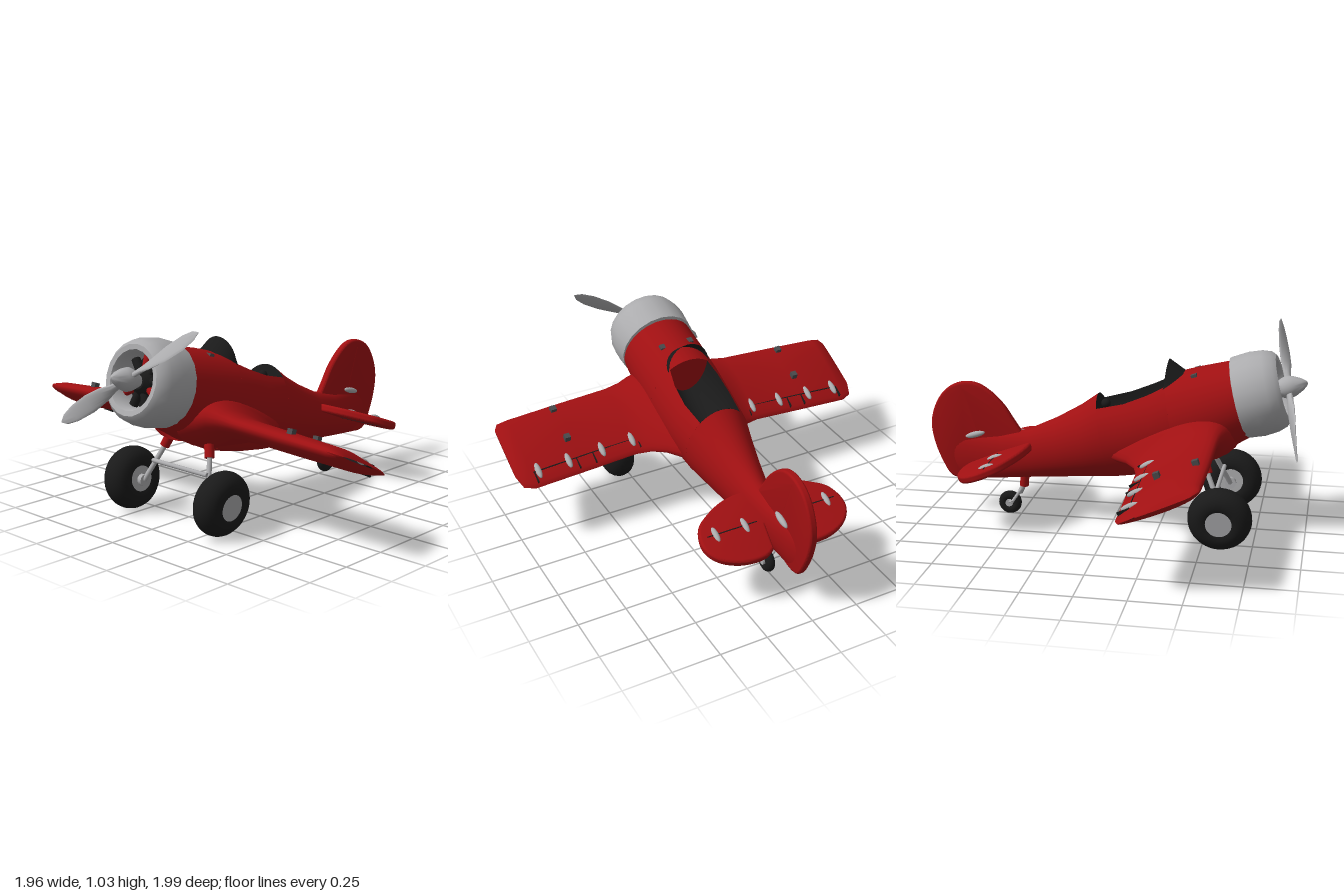
import * as THREE from 'three';
import { toCreasedNormals } from 'three/addons/utils/BufferGeometryUtils.js';

const mat = (name, color) => new THREE.MeshStandardMaterial({ name, color, side: THREE.DoubleSide });
const red = mat('red paint', 0xa01012);
const grey = mat('light grey metal', 0xacacae);
const black = mat('black', 0x1a1a1a);
const dark = mat('dark metal', 0x4a4a4c);
const V = (x, y, z) => new THREE.Vector3(x, y, z);

function add(parent, name, geo, material, x = 0, y = 0, z = 0) {
  const m = new THREE.Mesh(geo, material);
  m.name = name;
  m.position.set(x, y, z);
  parent.add(m);
  return m;
}

// Skin between rows of points
function loft(rows, closed = false) {
  const n = rows[0].length, idx = [], g = new THREE.BufferGeometry();
  for (let r = 0; r < rows.length - 1; r++)
    for (let i = 0; i < (closed ? n : n - 1); i++) {
      const a = r * n + i, b = r * n + (i + 1) % n, c = a + n, d = b + n;
      idx.push(a, b, c, b, d, c);
    }
  g.setFromPoints(rows.flat());
  g.setIndex(idx);
  return toCreasedNormals(g, 0.9);
}

// Round rod between two points
function rod(parent, name, a, b, r, material) {
  const dir = b.clone().sub(a);
  const m = add(parent, name, new THREE.CylinderGeometry(r, r, dir.length(), 12), material);
  m.position.copy(a).addScaledVector(dir, 0.5);
  m.quaternion.setFromUnitVectors(V(0, 1, 0), dir.normalize());
}

// Spindle-shaped hinge fairing
function hinge(parent, x, y, z, length, tilt) {
  const m = add(parent, 'hinge', new THREE.SphereGeometry(1, 14, 10), grey, x, y, z);
  m.scale.set(length / 2, 0.016, 0.016);
  m.rotation.z = tilt;
}

// Rounded plate from an outline
function plate(shape, depth, bevel) {
  const g = new THREE.ExtrudeGeometry(shape, {
    depth, bevelThickness: bevel, bevelSize: bevel, bevelOffset: -bevel, bevelSegments: 3, curveSegments: 40,
  });
  g.translate(0, 0, -depth / 2);
  return toCreasedNormals(g, 0.6);
}
const pts2 = list => list.map(p => new THREE.Vector2(...p));

function buildFuselage(root) {
  // top x, top y, bottom x, bottom y, half width, cockpit opening angle
  const stations = [
    [-.60, .885, -.705, .50, .2, 0], [-.45, .85, -.56, .41, .205, 0], [-.27, .80, -.38, .325, .205, 0],
    [-.27, .80, -.38, .325, .205, .56], [-.18, .772, -.29, .30, .2, .68], [-.06, .73, -.16, .272, .192, .74],
    [.08, .685, -.01, .25, .178, .7], [.08, .685, -.01, .25, .178, 0], [.17, .62, .13, .24, .15, 0],
    [.3, .545, .27, .228, .118, 0], [.45, .475, .42, .215, .085, 0], [.6, .44, .58, .2, .058, 0],
    [.8, .42, .78, .185, .034, 0], [.94, .38, .86, .19, .01, 0],
  ];
  const at = ([tx, ty, bx, by, w], phi) => {
    const c = Math.cos(phi) / 2;
    return V((tx + bx) / 2 + (tx - bx) * c, (ty + by) / 2 + (ty - by) * c, w * Math.sin(phi));
  };
  const N = 40, M = 16;
  const ring = s => Array.from({ length: N + 1 }, (_, i) => at(s, s[5] + (2 * Math.PI - 2 * s[5]) * i / N));
  add(root, 'fuselage', loft(stations.map(ring)), red);

  // Cockpit tub and its end walls
  const tubRow = s => Array.from({ length: M + 1 }, (_, i) => {
    const t = Math.PI * i / M, e = at(s, s[5]), d = 0.17 * Math.sin(t);
    return V(e.x - d * 0.22, e.y - d, e.z * Math.cos(t));
  });
  const arcRow = s => Array.from({ length: M + 1 }, (_, i) => at(s, s[5] * (1 - 2 * i / M)));
  add(root, 'cockpit tub', loft(stations.slice(3, 7).map(tubRow)), black);
  add(root, 'instrument panel', loft([arcRow(stations[3]), tubRow(stations[3])]), red);
  add(root, 'cockpit rear wall', loft([arcRow(stations[6]), tubRow(stations[6])]), black);
  add(root, 'headrest', new THREE.SphereGeometry(.025, 14, 10), black, .04, .635, 0);

  // Curved windscreen
  const arc = f => Array.from({ length: 17 }, (_, i) => f(-Math.PI / 2 + Math.PI * i / 16));
  add(root, 'windscreen', loft([
    arc(a => V(-.27 - .1 * Math.cos(a), .752 + .072 * Math.cos(a), .122 * Math.sin(a))),
    arc(a => V(-.275 - .01 * Math.cos(a), .765 + .118 * Math.cos(a), .115 * Math.sin(a))),
  ]), black);
}

function buildNose(root) {
  // Thrust line is local y
  const nose = new THREE.Group();
  nose.name = 'nose';
  nose.position.set(-.645, .70, 0);
  nose.rotation.z = 1.305;
  root.add(nose);
  const lathe = (name, p, m, seg) => add(nose, name, toCreasedNormals(new THREE.LatheGeometry(pts2(p), seg), 0.7), m);
  lathe('cowling', [[.19, -.005], [.208, 0], [.215, .09], [.208, .16], [.192, .205], [.17, .225], [.145, .222],
    [.132, .2], [.13, .1]], grey, 20);
  lathe('engine bulkhead', [[0, .1], [.19, .1]], black, 20);
  lathe('crankcase', [[.075, .1], [.07, .15], [.04, .18], [0, .18]], black, 20);
  lathe('spinner', [[.028, .1], [.03, .18], [.052, .225], [.058, .25], [.05, .28], [.03, .32], [.012, .342], [0, .348]], grey, 24);
  for (let i = 0; i < 9; i++) {
    const a = i * Math.PI * 2 / 9;
    rod(nose, 'engine cylinder', V(.05 * Math.cos(a), .14, .05 * Math.sin(a)), V(.125 * Math.cos(a), .14, .125 * Math.sin(a)), .022, i % 3 ? black : red);
  }
  // Twisted blades: radius, half width, half thickness, twist
  const rows = [[.03, .016, .014, 1], [.1, .022, .012, .8], [.17, .037, .009, .6], [.27, .046, .007, .42],
    [.38, .041, .005, .3], [.45, .026, .004, .25], [.483, .003, .002, .25]].map(([r, w, t, tw]) =>
    Array.from({ length: 16 }, (_, i) => {
      const a = i * Math.PI / 8, u = w * Math.cos(a), v = t * Math.sin(a);
      return V(r, u * Math.sin(tw) + v * Math.cos(tw), u * Math.cos(tw) - v * Math.sin(tw));
    }));
  for (const k of [0, 1])
    add(nose, 'propeller blade', loft(rows, true), grey, 0, .25, 0).rotation.y = -.977 + k * Math.PI;
}

// Everything that exists once per side
function buildSide(root, name, sign) {
  const g = new THREE.Group();
  g.name = name;
  g.scale.z = sign;
  root.add(g);

  // Wing with root fillet: z, leading x y, trailing x y, thickness
  const wing = [[.08, -.66, .54, .06, .40, .26], [.17, -.62, .565, -.02, .40, .23], [.22, -.60, .575, -.10, .395, .18],
    [.28, -.58, .57, -.155, .385, .13], [.36, -.572, .562, -.178, .38, .1], [.65, -.57, .548, -.178, .362, .095],
    [.92, -.565, .535, -.18, .345, .085], [.975, -.56, .53, -.2, .355, .055], [.997, -.53, .515, -.26, .39, .008]];
  add(g, 'wing', loft(wing.map(([z, lx, ly, tx, ty, th]) => {
    const dx = tx - lx, dy = ty - ly, len = Math.hypot(dx, dy);
    return Array.from({ length: 28 }, (_, i) => {
      const a = i * Math.PI / 14, u = (1 - Math.cos(a)) / 2, h = th / 2 * Math.sin(a) * (1.3 - .65 * u);
      return V(lx + dx * u - dy / len * h, ly + dy * u + dx / len * h, z);
    });
  }), true), red);
  const gap = (n, x, y, z, sx, sz) => {
    const m = add(g, n, new THREE.BoxGeometry(sx, .06, sz), black, x, y, z);
    m.rotation.set(.06, 0, -.44);
  };
  gap('aileron gap', -.25, .397, .62, .005, .57);
  for (const z of [.33, .58, .67, .9]) gap('aileron end gap', -.222, .4 - .06 * (z - .36), z, .06, .005);
  for (const z of [.36, .53, .715, .88]) hinge(g, -.24, .438 - .06 * (z - .36), z, .095, -.44);
  for (const [x, y, z] of [[-.51, .563, .68], [-.33, .492, .68], [-.425, .812, .08]]) {
    const m = add(g, 'filler cap', new THREE.BoxGeometry(.03, .035, .03), dark, x, y, z);
    m.rotation.z = -.35;
  }

  // Tailplane
  const s = new THREE.Shape();
  s.moveTo(-.2, 0);
  s.lineTo(-.195, .08);
  s.splineThru(pts2([[-.19, .14], [-.17, .22], [-.13, .3], [-.08, .365], [0, .397], [.07, .39], [.13, .345], [.17, .27],
    [.185, .19], [.18, .12], [.155, .075]]));
  s.lineTo(.02, .05);
  s.lineTo(.02, 0);
  const geo = plate(s, .014, .014);
  geo.rotateX(Math.PI / 2);
  geo.rotateZ(-.37);
  add(g, 'tailplane', geo, red, .6, .335, 0);
  add(g, 'elevator gap', new THREE.BoxGeometry(.005, .046, .27), black, .592, .338, .22).rotation.z = -.37;
  for (const z of [.15, .31]) hinge(g, .597, .355, z, .09, -.37);

  // Main wheel, leaning outward at the top
  const wheel = new THREE.Group();
  wheel.name = 'main wheel';
  wheel.position.set(-.59, .163, .315);
  wheel.rotation.x = .09;
  g.add(wheel);
  add(wheel, 'tyre', new THREE.TorusGeometry(.088, .072, 20, 40), black).scale.z = 1.04;
  add(wheel, 'wheel hub', new THREE.CylinderGeometry(.075, .075, .142, 28), grey).rotation.x = Math.PI / 2;
  rod(g, 'axle', V(-.59, .165, .22), V(-.59, .163, .26), .03, grey);
  rod(g, 'gear leg', V(-.59, .165, .225), V(-.5, .36, .15), .013, grey);
  rod(g, 'gear leg socket', V(-.51, .34, .158), V(-.485, .41, .13), .025, red);
  rod(g, 'tail wheel fork', V(.495, .145, 0), V(.53, .09, .075), .008, grey);
  rod(g, 'tail wheel fork', V(.53, .09, .075), V(.56, .07, .02), .008, grey);
}

function buildTail(root) {
  // Fin and rudder with an open hinge slot
  const s = new THREE.Shape();
  s.moveTo(.42, .4);
  s.lineTo(.49, .46);
  s.splineThru(pts2([[.53, .52], [.58, .595], [.65, .665], [.73, .71], [.82, .71], [.9, .665], [.955, .58], [.978, .48],
    [.96, .37], [.92, .27], [.88, .205], [.83, .186], [.77, .19]]));
  s.lineTo(.5, .3);
  s.holes.push(new THREE.Path(pts2([[.796, .685], [.812, .682], [.725, .43], [.71, .435]])));
  add(root, 'fin and rudder', plate(s, .016, .012), red);
  hinge(root, .815, .655, 0, .135, -.27);
  hinge(root, .735, .437, 0, .11, -.27);
  for (const z of [-.03, .03]) hinge(root, .735, .437, z, .11, -.27);

  // Tail wheel
  add(root, 'tail tyre', new THREE.TorusGeometry(.037, .025, 14, 28), black, .56, .063, 0);
  rod(root, 'tail wheel axle', V(.56, .066, -.03), V(.56, .066, .03), .02, grey);
  rod(root, 'tail wheel leg', V(.475, .24, 0), V(.482, .16, 0), .024, red);
  rod(root, 'tail wheel pivot', V(.482, .17, 0), V(.505, .12, 0), .014, grey);
}

export function createModel() {
  const root = new THREE.Group();
  root.name = 'small racing aeroplane';
  buildFuselage(root);
  buildNose(root);
  buildSide(root, 'left side', 1);
  buildSide(root, 'right side', -1);
  buildTail(root);
  rod(root, 'gear cross bar', V(-.56, .27, -.19), V(-.56, .27, .19), .011, grey);
  return root;
}
